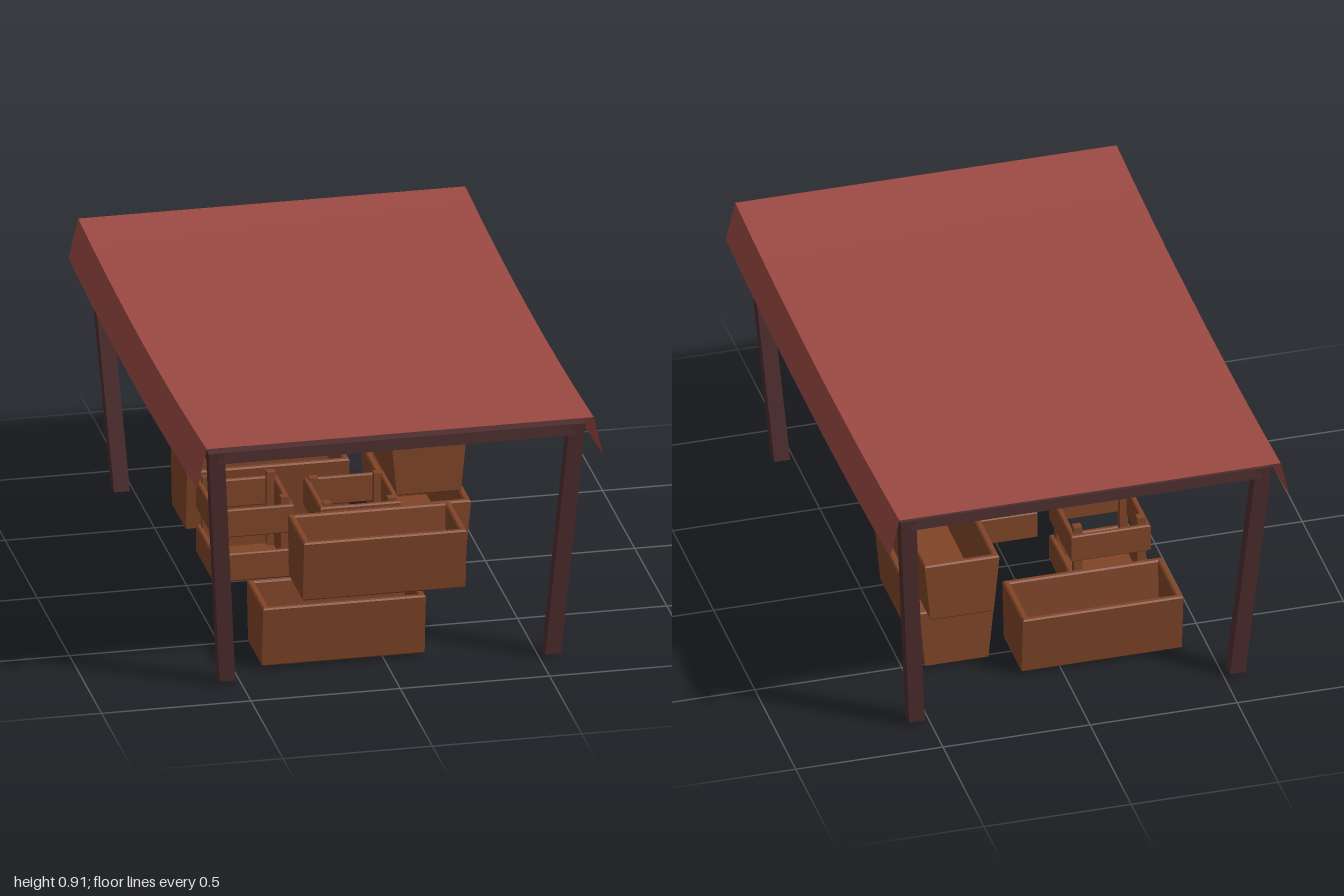
import * as THREE from 'three';

const cloth = new THREE.MeshStandardMaterial({ color: 0x9c4a43, side: THREE.DoubleSide });
const darkWood = new THREE.MeshStandardMaterial({ color: 0x4f2e2f });
const wood = new THREE.MeshStandardMaterial({ color: 0x804528 });

function add(parent, name, geometry, material, x = 0, y = 0, z = 0) {
  const mesh = new THREE.Mesh(geometry, material);
  mesh.name = name;
  mesh.position.set(x, y, z);
  parent.add(mesh);
  return mesh;
}

// Move every vertex by a rule
function warp(geometry, rule) {
  const p = geometry.attributes.position;
  const v = new THREE.Vector3();
  for (let i = 0; i < p.count; i++) {
    rule(v.fromBufferAttribute(p, i));
    p.setXYZ(i, v.x, v.y, v.z);
  }
  geometry.computeVertexNormals();
  return geometry;
}

// Strip of cloth sagging along z, between two points of the cross-section
function clothStrip(x0, drop0, x1, drop1) {
  const g = new THREE.PlaneGeometry(1, 2, 1, 10).rotateX(-Math.PI / 2);
  return warp(g, v => {
    const t = v.x + 0.5;
    v.x = x0 + (x1 - x0) * t;
    v.y = 0.878 + 0.032 * v.z * v.z - (drop0 + (drop1 - drop0) * t);
  });
}

// Rectangular ring of walls standing on y = 0, with softened edges
function ring(w, h, d, wall, bevel) {
  const rect = (a, b, S) => new S([
    new THREE.Vector2(-a, -b), new THREE.Vector2(a, -b),
    new THREE.Vector2(a, b), new THREE.Vector2(-a, b)]);
  const a = w / 2 - bevel, b = d / 2 - bevel, inset = wall - 2 * bevel;
  const shape = rect(a, b, THREE.Shape);
  shape.holes.push(rect(a - inset, b - inset, THREE.Path));
  return new THREE.ExtrudeGeometry(shape, {
    depth: h - 2 * bevel, bevelEnabled: true, bevelThickness: bevel, bevelSize: bevel, bevelSegments: 1,
  }).rotateX(-Math.PI / 2).translate(0, bevel, 0);
}

// Open trough whose long sides lean outwards
function trough(parent, name, x, y, z, turned) {
  const g = new THREE.Group();
  g.name = name;
  const h = 0.212;
  const lean = v => { v.z *= 0.84 + 0.16 * v.y / h; };
  add(g, 'troughWalls', warp(ring(0.545, h, 0.255, 0.022, 0.005), lean), wood);
  add(g, 'troughFloor', new THREE.BoxGeometry(0.525, 0.02, 0.2), wood, 0, 0.012, 0);
  g.position.set(x, y, z);
  if (turned) g.rotation.y = Math.PI / 2;
  parent.add(g);
}

// Square crate of slat bands on four corner posts
function slatCrate(parent, name, x, z, bands, postTop) {
  const g = new THREE.Group();
  g.name = name;
  for (let i = 0; i < bands; i++)
    add(g, 'slatBand', ring(0.27, 0.098, 0.27, 0.018, 0.004), wood, 0, 0.004 + i * 0.156, 0);
  add(g, 'crateFloor', new THREE.BoxGeometry(0.255, 0.018, 0.255), wood, 0, 0.014, 0);
  for (const sx of [-1, 1]) for (const sz of [-1, 1])
    add(g, 'cornerPost', new THREE.BoxGeometry(0.028, postTop - 0.01, 0.028), wood,
      sx * 0.108, (postTop + 0.01) / 2, sz * 0.108);
  g.position.set(x, 0, z);
  parent.add(g);
}

export function createModel() {
  const model = new THREE.Group();
  model.name = 'marketStall';

  // Sagging canopy with a flap down each long side
  const canopy = new THREE.Group();
  canopy.name = 'canopy';
  model.add(canopy);
  add(canopy, 'canopyTop', clothStrip(-0.648, 0, 0.648, 0), cloth);
  add(canopy, 'rightFlap', clothStrip(-0.68, 0.138, -0.648, 0), cloth);
  add(canopy, 'leftFlap', clothStrip(0.648, 0, 0.68, 0.138), cloth);

  // Frame: legs splay outwards towards the top
  const frame = new THREE.Group();
  frame.name = 'frame';
  model.add(frame);
  for (const sx of [-1, 1]) for (const sz of [-1, 1]) {
    const leg = new THREE.BoxGeometry(0.053, 0.855, 0.05).translate(0, 0.4425, 0);
    add(frame, 'leg', warp(leg, v => {
      const t = (v.y - 0.015) / 0.855;
      v.x += sx * (0.545 + 0.059 * t);
      v.z += sz * (0.82 + 0.108 * t);
    }), darkWood);
  }
  for (const s of [-1, 1]) {
    add(frame, 'crossBeam', new THREE.BoxGeometry(1.2, 0.04, 0.045), darkWood, 0, 0.85, s * 0.928);
    add(frame, 'sideBeam', new THREE.BoxGeometry(0.045, 0.04, 1.85), darkWood, s * 0.604, 0.85, 0);
  }

  // Troughs: a front stack, a side stack and a single one at the back
  const low = 0.015, high = 0.235;
  trough(model, 'frontLowerTrough', -0.137, low, 0.642, false);
  trough(model, 'frontUpperTrough', 0, high, 0.642, false);
  trough(model, 'sideLowerTrough', 0.323, low, -0.262, true);
  trough(model, 'sideUpperTrough', 0.323, high, -0.327, true);
  trough(model, 'backTrough', -0.137, low, -0.542, false);

  // Slatted crates
  slatCrate(model, 'tallCrate', -0.005, 0.275, 3, 0.424);
  slatCrate(model, 'lowCrate', -0.275, -0.135, 2, 0.283);

  return model;
}
